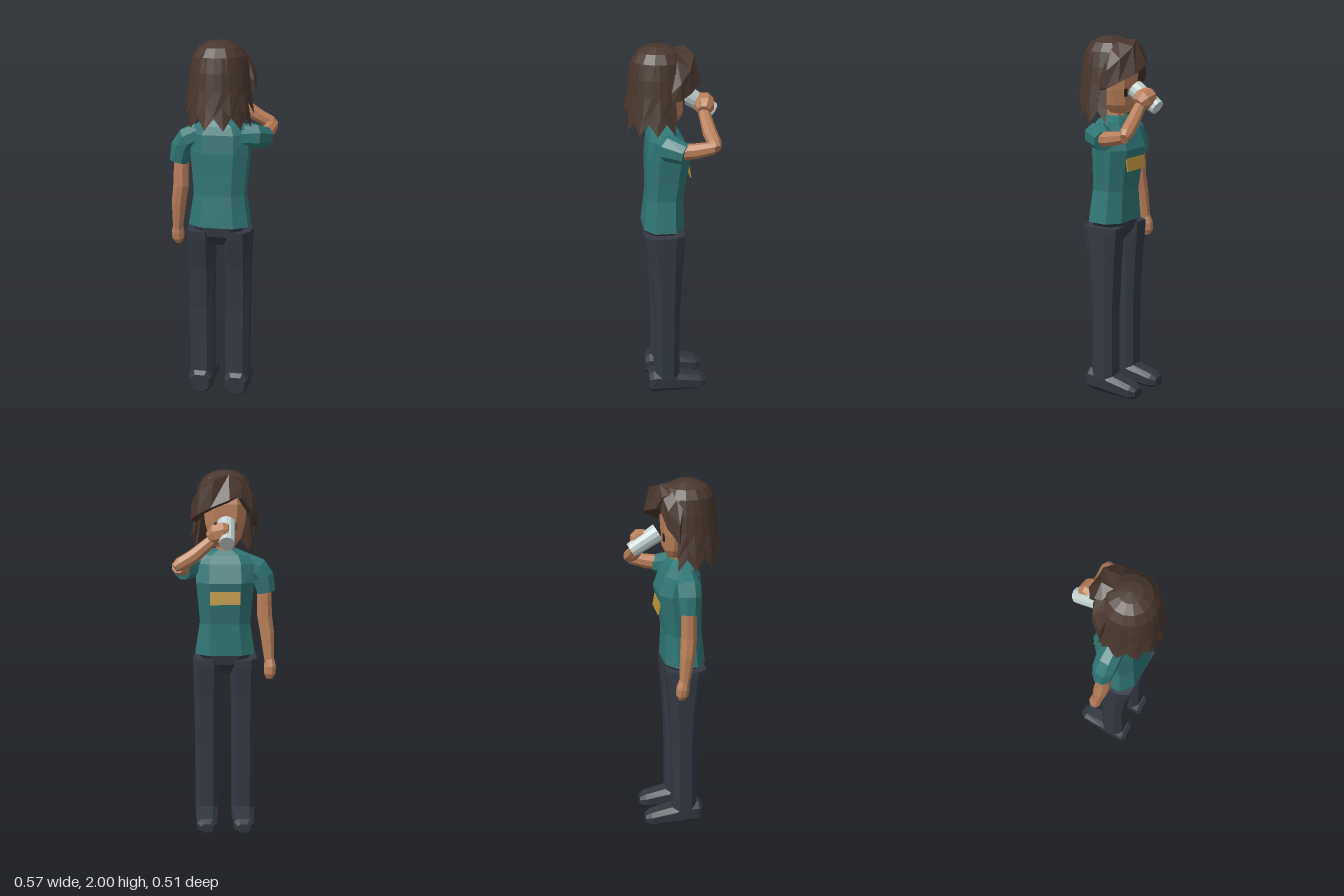
import * as THREE from 'three';

const mat = (name, color) => {
  const m = new THREE.MeshStandardMaterial({ color, flatShading: true, side: THREE.DoubleSide });
  m.name = name;
  return m;
};
const V = (x, y, z) => new THREE.Vector3(x, y, z);

// Skin over a list of rings; each ring turns right-handed about the travel direction
function loft(rings, { closed = true, caps = true } = {}) {
  const pos = [];
  const tri = (...p) => p.forEach((q) => pos.push(q.x, q.y, q.z));
  const n = rings[0].length;
  for (let i = 0; i + 1 < rings.length; i++) {
    for (let j = 0; j < (closed ? n : n - 1); j++) {
      const k = (j + 1) % n;
      const [a, b, c, d] = [rings[i][j], rings[i][k], rings[i + 1][k], rings[i + 1][j]];
      tri(a, b, c);
      tri(a, c, d);
    }
  }
  if (caps) {
    const first = rings[0], last = rings[rings.length - 1];
    for (let j = 1; j + 1 < n; j++) {
      tri(first[0], first[j + 1], first[j]);
      tri(last[0], last[j], last[j + 1]);
    }
  }
  const g = new THREE.BufferGeometry();
  g.setAttribute('position', new THREE.Float32BufferAttribute(pos, 3));
  g.computeVertexNormals();
  return g;
}

// Chamfered rectangle, as unit factors
const OCT = [[0.55, 1], [1, 0.5], [1, -0.5], [0.55, -1], [-0.55, -1], [-1, -0.5], [-1, 0.5], [-0.55, 1]];

// Upright body from rows of [y, half width, front z, back z]
const upright = (rows, cx = 0) => loft(rows.map(([y, hw, zf, zb]) =>
  OCT.map(([u, v]) => V(cx + u * hw, y, (zf + zb) / 2 + v * (zb - zf) / 2))));

// Limb along points of [x, y, z, radius]
function limb(points, ref, sides = 8) {
  const p = points.map(([x, y, z]) => V(x, y, z));
  return loft(p.map((c, i) => {
    const d = p[Math.min(i + 1, p.length - 1)].clone().sub(p[Math.max(i - 1, 0)]).normalize();
    const u = ref.clone().cross(d).normalize();
    const v = d.clone().cross(u);
    return Array.from({ length: sides }, (_, k) => {
      const a = (k + 0.5) / sides * Math.PI * 2;
      return c.clone().addScaledVector(u, Math.cos(a) * points[i][3]).addScaledVector(v, Math.sin(a) * points[i][3]);
    });
  }));
}

// Hair sheet around the crown axis; rows are [radius, y, tip radius, tip y]
function hairSheet(rows, span, n) {
  return loft(rows.map(([r, y, r2 = r, y2 = y]) => Array.from({ length: n + 1 }, (_, j) => {
    const a = (j / n - 0.5) * span, tip = j % 2 === 0;
    const R = tip ? r2 : r;
    return V(Math.sin(a) * R, tip ? y2 : y, 0.07 + Math.cos(a) * R);
  })).reverse(), { closed: false, caps: false });
}

export function createModel() {
  const model = new THREE.Group();
  const skin = mat('skin', 0xb97f5b);
  const shirt = mat('teal shirt', 0x2f7574);
  const trousers = mat('dark trousers', 0x333943);
  const shoe = mat('dark shoes', 0x30363f);
  const hair = mat('brown hair', 0x48362d);
  const metal = mat('pale cup', 0xc2d1cf);
  const ochre = mat('ochre patch', 0xb8933f);
  const dark = mat('eye', 0x2a2220);

  const add = (name, geometry, material) => {
    const m = new THREE.Mesh(geometry, material);
    m.name = name;
    model.add(m);
    return m;
  };

  // Legs and shoes
  for (const [side, s] of [['left', 1], ['right', -1]]) {
    add(side + 'Leg', upright([
      [0.08, 0.066, -0.03, 0.11], [0.5, 0.067, -0.032, 0.107],
      [0.75, 0.07, -0.045, 0.125], [0.93, 0.074, -0.06, 0.155], [0.97, 0.074, -0.06, 0.158],
    ], s * 0.103), trousers);
    const stations = [
      [-0.187, 0.035, 0.012, 0.06], [-0.155, 0.056, 0, 0.08], [-0.02, 0.063, 0, 0.11],
      [0.03, 0.066, 0, 0.13], [0.12, 0.066, 0, 0.13], [0.142, 0.052, 0.012, 0.11],
    ];
    add(side + 'Shoe', loft(stations.map(([z, hw, y0, y1]) => OCT.map(([u, v]) =>
      V(s * 0.103 - u * hw, (y0 + y1) / 2 + v * (y1 - y0) / 2, z)))), shoe);
  }

  // Pelvis
  add('pelvis', upright([
    [0.88, 0.05, 0, 0.09], [0.94, 0.1, -0.045, 0.145], [1.005, 0.155, -0.055, 0.152],
  ]), trousers);

  // Shirt body, chest patch and sleeves
  add('shirt', upright([
    [0.995, 0.165, -0.063, 0.16], [1.17, 0.138, -0.058, 0.142], [1.28, 0.147, -0.075, 0.14],
    [1.4, 0.158, -0.096, 0.14], [1.5, 0.155, -0.06, 0.13], [1.545, 0.13, -0.03, 0.115],
    [1.575, 0.06, -0.005, 0.09],
  ]), shirt);
  const patch = add('chestPatch', new THREE.BoxGeometry(0.164, 0.115, 0.006), ochre);
  patch.position.set(0, 1.341, -0.0875);
  patch.rotation.x = 0.173;
  add('hangingSleeve', limb([
    [-0.11, 1.495, 0.045, 0.06], [-0.18, 1.462, 0.045, 0.066], [-0.21, 1.42, 0.043, 0.063],
    [-0.228, 1.335, 0.04, 0.054],
  ], V(0, 0, 1)), shirt);
  add('raisedSleeve', limb([
    [0.11, 1.485, 0.05, 0.062], [0.18, 1.485, 0.03, 0.072], [0.235, 1.467, -0.05, 0.055],
  ], V(0, 1, 0)), shirt);

  // Hanging arm and hand
  add('hangingArm', limb([
    [-0.215, 1.4, 0.04, 0.04], [-0.22, 1.2, 0.04, 0.044], [-0.235, 1.1, 0.03, 0.041],
    [-0.248, 0.94, 0.01, 0.028],
  ], V(0, 0, 1)), skin);
  add('hangingHand', limb([
    [-0.248, 0.96, 0.01, 0.028], [-0.25, 0.92, 0.002, 0.036], [-0.248, 0.88, -0.002, 0.034],
    [-0.246, 0.853, -0.004, 0.018],
  ], V(0, 0, 1)), skin);

  // Raised arm and gripping hand
  add('raisedUpperArm', limb([
    [0.215, 1.475, 0, 0.042], [0.235, 1.485, -0.1, 0.041], [0.252, 1.505, -0.195, 0.033],
  ], V(0, 1, 0)), skin);
  add('raisedForearm', limb([
    [0.268, 1.503, -0.205, 0.024], [0.24, 1.52, -0.197, 0.037], [0.17, 1.56, -0.182, 0.038],
    [0.06, 1.65, -0.165, 0.031],
  ], V(0, 1, 0)), skin);
  add('grippingHand', limb([
    [0.085, 1.655, -0.163, 0.034], [0.055, 1.672, -0.17, 0.056], [0, 1.685, -0.175, 0.056],
    [-0.022, 1.69, -0.18, 0.038],
  ], V(0, 1, 0)), skin);

  // Cup tilted towards the mouth
  const cup = add('cup', new THREE.CylinderGeometry(0.05, 0.041, 0.172, 12), metal);
  cup.position.set(-0.005, 1.677, -0.155);
  cup.rotation.x = 1.016;

  // Neck, head and eyes
  const neck = add('neck', new THREE.CylinderGeometry(0.05, 0.055, 0.14, 8), skin);
  neck.position.set(0, 1.58, 0.04);
  add('head', upright([
    [1.59, 0.05, -0.035, 0.06], [1.635, 0.085, -0.055, 0.1], [1.72, 0.108, -0.06, 0.14],
    [1.82, 0.118, -0.06, 0.16], [1.9, 0.1, -0.04, 0.15],
  ]), skin);
  for (const s of [1, -1]) {
    const eye = add(s > 0 ? 'leftEye' : 'rightEye', new THREE.BoxGeometry(0.022, 0.042, 0.008), dark);
    eye.position.set(s * 0.05, 1.705, -0.06);
  }

  // Hair: crown, then two ragged layers around the back and sides
  add('hairCrown', hairSheet([
    [0.001, 2], [0.06, 1.992], [0.11, 1.965], [0.145, 1.915], [0.155, 1.86],
  ], Math.PI * 2, 14), hair);
  const drape = THREE.MathUtils.degToRad(232);
  add('hairOuterLayer', hairSheet([
    [0.144, 1.92], [0.158, 1.84], [0.167, 1.75], [0.173, 1.68, 0.19, 1.615],
  ], drape, 16), hair);
  add('hairInnerLayer', hairSheet([
    [0.145, 1.75], [0.155, 1.66], [0.163, 1.61, 0.176, 1.545],
  ], drape, 14), hair);

  // Swept fringe: sections of top, upper, lower and inner corners
  const fringe = (name, data) => add(name, loft(data.map((s) => s.map((p) => V(...p)))), hair);
  fringe('sweptFringe', [
    [[-0.085, 1.94, -0.035], [-0.09, 1.93, -0.075], [-0.08, 1.87, -0.108], [-0.07, 1.86, -0.06]],
    [[-0.02, 1.98, -0.01], [-0.02, 1.982, -0.075], [-0.02, 1.85, -0.146], [-0.015, 1.83, -0.06]],
    [[0.06, 1.97, -0.02], [0.06, 1.95, -0.115], [0.08, 1.81, -0.146], [0.06, 1.8, -0.06]],
    [[0.12, 1.935, -0.015], [0.135, 1.89, -0.085], [0.15, 1.77, -0.088], [0.115, 1.77, -0.05]],
    [[0.15, 1.88, -0.005], [0.18, 1.83, -0.03], [0.185, 1.74, -0.03], [0.14, 1.74, -0.02]],
    [[0.155, 1.8, 0.02], [0.18, 1.78, 0.02], [0.187, 1.73, 0.015], [0.15, 1.72, 0.02]],
  ]);
  fringe('sideFringe', [
    [[-0.15, 1.88, 0.02], [-0.175, 1.8, 0], [-0.18, 1.7, 0], [-0.15, 1.7, 0.01]],
    [[-0.12, 1.92, -0.005], [-0.145, 1.87, -0.055], [-0.145, 1.78, -0.06], [-0.115, 1.78, -0.03]],
    [[-0.08, 1.95, -0.02], [-0.085, 1.925, -0.07], [-0.085, 1.86, -0.085], [-0.07, 1.85, -0.055]],
  ].reverse());

  return model;
}
